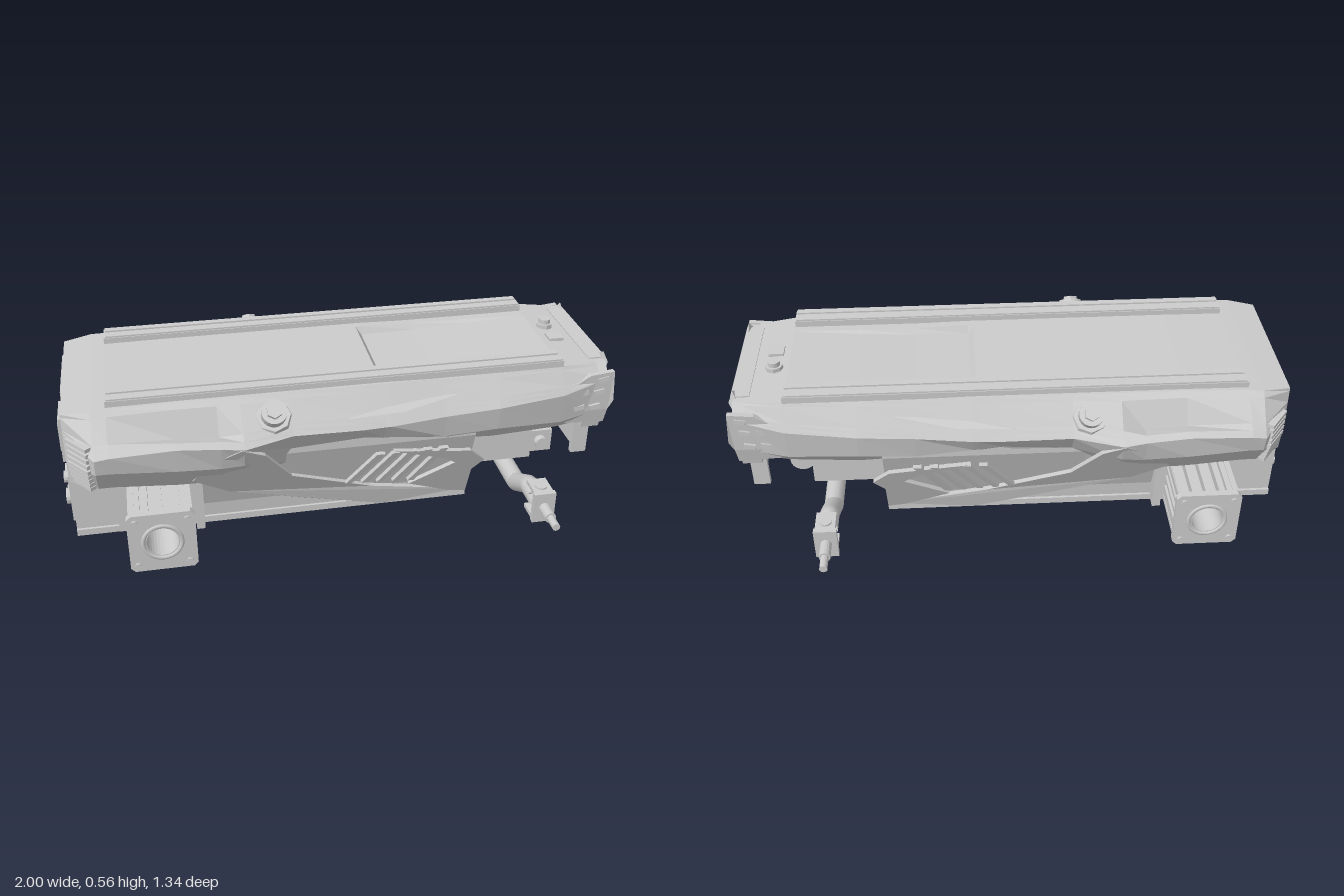
import * as THREE from 'three';

const smooth = new THREE.MeshStandardMaterial({ color: 0xcccccc, side: THREE.DoubleSide });
const flat = new THREE.MeshStandardMaterial({ color: 0xcccccc, flatShading: true, side: THREE.DoubleSide });

function add(parent, name, geo, x = 0, y = 0, z = 0, mat = flat) {
  const m = new THREE.Mesh(geo, mat);
  m.name = name;
  m.position.set(x, y, z);
  parent.add(m);
  return m;
}

// Box given by its limits on each axis
function box(parent, name, x0, x1, y0, y1, z0, z1) {
  return add(parent, name, new THREE.BoxGeometry(x1 - x0, y1 - y0, z1 - z0),
    (x0 + x1) / 2, (y0 + y1) / 2, (z0 + z1) / 2);
}

// Cylinder along a chosen axis
function rod(parent, name, axis, r, len, x, y, z, sides = 20, r2 = r) {
  const g = new THREE.CylinderGeometry(r2, r, len, sides);
  if (axis === 'x') g.rotateZ(-Math.PI / 2);
  if (axis === 'z') g.rotateX(Math.PI / 2);
  return add(parent, name, g, x, y, z);
}

const shapeOf = pts => new THREE.Shape(pts.map(p => new THREE.Vector2(p[0], p[1])));
const extrude = (shape, depth) =>
  new THREE.ExtrudeGeometry(shape, { depth, bevelEnabled: false, curveSegments: 16 });

// Block in x and y with a round bore along z
function boredBlock(parent, name, x0, x1, y0, y1, z0, z1, bx, by, r) {
  const s = shapeOf([[x0, y0], [x1, y0], [x1, y1], [x0, y1]]);
  s.holes.push(new THREE.Path().absarc(bx, by, r, 0, Math.PI * 2, true));
  return add(parent, name, extrude(s, z1 - z0), 0, 0, z0);
}

// Armour plate drawn in x and y, then leaned so that z follows the height
function plate(parent, name, pts, depth, lean) {
  const g = extrude(shapeOf(pts), depth), p = g.attributes.position;
  for (let i = 0; i < p.count; i++) p.setZ(i, p.getZ(i) + lean(p.getY(i)));
  g.computeVertexNormals();
  return add(parent, name, g);
}

// Symmetric hull lofted along x; each station is x followed by half-section [z, y] points
function loft(stations) {
  const rings = stations.map(([x, ...half]) => [
    ...half.map(([z, y]) => [x, y, z]),
    ...half.slice().reverse().map(([z, y]) => [x, y, -z])]);
  const n = rings[0].length, idx = [];
  for (let i = 0; i < rings.length - 1; i++)
    for (let j = 0; j < n; j++) {
      const a = i * n + j, b = i * n + (j + 1) % n;
      idx.push(a, a + n, b, b, a + n, b + n);
    }
  const last = (rings.length - 1) * n;
  for (let j = 1; j < n - 1; j++) idx.push(0, j, j + 1, last, last + j + 1, last + j);
  const g = new THREE.BufferGeometry();
  g.setAttribute('position', new THREE.Float32BufferAttribute(rings.flat(2), 3));
  g.setIndex(idx);
  g.computeVertexNormals();
  return g;
}

// Adds the shoulder pocket and the sloping roof recess to a shell section
function detailSection([x, foot, bulge, ridge, edge]) {
  const pocket = x > -0.8 && x < -0.4 ? 0.03 : 0;
  const recess = x > 0.14 && x < 0.78 ? (0.78 - x) * 0.045 : 0;
  const mix = (t, d) => [ridge[0] + (edge[0] - ridge[0]) * t - d, ridge[1] + (edge[1] - ridge[1]) * t - d];
  return [x, foot, bulge, ridge, mix(0.15, 0), mix(0.3, pocket), mix(0.85, 0), edge,
    [0.17, edge[1]], [0.155, edge[1] - recess]];
}

// Hollow finned drive motor with a square end flange
function driveMotor(parent) {
  const g = new THREE.Group();
  g.name = 'driveMotor';
  g.position.set(-0.67, 0.12, 0);
  parent.add(g);
  boredBlock(g, 'motorCore', -0.075, 0.075, -0.075, 0.075, 0.24, 0.49, 0, 0, 0.055);
  for (const s of [-1, 1]) for (let i = -2; i <= 2; i++) {
    const c = i * 0.048;
    box(g, 'horizontalFin', s * 0.088 - 0.02, s * 0.088 + 0.02, c - 0.009, c + 0.009, 0.24, 0.49);
    box(g, 'verticalFin', c - 0.009, c + 0.009, s * 0.088 - 0.02, s * 0.088 + 0.02, 0.24, 0.49);
  }
  const s = shapeOf([[-0.1, -0.115], [0.1, -0.115], [0.115, -0.1], [0.115, 0.1],
    [0.1, 0.115], [-0.1, 0.115], [-0.115, 0.1], [-0.115, -0.1]]);
  s.holes.push(new THREE.Path().absarc(0, 0, 0.055, 0, Math.PI * 2, true));
  add(g, 'endFlange', extrude(s, 0.025), 0, 0, 0.485);
  add(g, 'hubRing', new THREE.TorusGeometry(0.066, 0.008, 8, 28), 0, 0, 0.508, smooth);
  for (const x of [-0.088, 0.088]) for (const y of [-0.088, 0.088])
    rod(g, 'flangeBolt', 'z', 0.011, 0.01, x, y, 0.512, 8);
}

// Everything on one side; used twice with mirroring
function buildSide() {
  const g = new THREE.Group();
  const low = y => 0.235 + 0.4 * y;
  const sweep = y => Math.max(0.24, 0.213 + 0.5 * y);
  const shoulder = y => 0.373 - (y - 0.42) * 1.18;
  plate(g, 'sweptSidePlate', [[-0.55, 0.25], [-0.5, 0.33], [-0.38, 0.4], [-0.3, 0.36], [-0.2, 0.22],
    [0.1, 0.1], [0.45, 0.03], [0.47, 0], [0.15, 0], [-0.15, 0.07], [-0.42, 0.16]], 0.02, sweep);
  plate(g, 'forwardSidePlate', [[0.16, 0.3], [0.45, 0.26], [0.51, 0.2], [0.47, 0.15], [0.47, 0.02],
    [0.41, 0.03], [0.24, 0.1], [0.4, 0.2], [0.36, 0.23]], 0.02, low);
  for (let i = 0; i < 5; i++) {
    const x = i * 0.058;
    plate(g, 'ventSlat', [[x, 0.14 - i * 0.005], [x + 0.022, 0.14 - i * 0.005],
      [x + 0.13, 0.29], [x + 0.1, 0.29]], 0.02, low);
  }
  plate(g, 'frontShoulderPanel', [[0, 0.44], [0.2, 0.445], [0.5, 0.49], [0.35, 0.49]], 0.008, shoulder);

  // Roof rail with undercut sides and two top lips
  box(g, 'railBase', -0.815, 0.795, 0.51, 0.53, 0.21, 0.27);
  box(g, 'railCap', -0.82, 0.8, 0.526, 0.55, 0.2, 0.28);
  for (const z of [0.216, 0.264]) box(g, 'railLip', -0.815, 0.795, 0.55, 0.556, z - 0.013, z + 0.013);

  // Tilted shoulder sensor
  const sensor = new THREE.Group();
  sensor.name = 'shoulderSensor';
  sensor.position.set(-0.26, 0.452, 0.322);
  sensor.rotation.x = 0.72;
  g.add(sensor);
  rod(sensor, 'sensorBase', 'y', 0.078, 0.04, 0, 0.012, 0, 8, 0.06);
  rod(sensor, 'sensorBody', 'y', 0.044, 0.04, 0, 0.048, 0, 20);
  rod(sensor, 'sensorCap', 'y', 0.028, 0.016, 0, 0.074, 0, 6);

  // Corner vent ribs
  for (let i = 0; i < 9; i++) {
    const rib = box(g, 'cornerRib', -0.055, 0.055, -0.007, 0.007, -0.012, 0.012);
    rib.position.set(-0.92, 0.255 + i * 0.022, 0.305 + Math.min(i, 4) * 0.009);
    rib.rotation.y = -0.9;
  }
  driveMotor(g);
  boredBlock(g, 'motorMount', -0.82, -0.53, 0.01, 0.235, 0.25, 0.275, -0.67, 0.12, 0.055);
  box(g, 'mountBracket', -0.545, -0.515, 0.01, 0.21, 0.25, 0.31);

  // Cheek of the nose with slots
  plate(g, 'noseCheek', [[0.78, 0.34], [0.83, 0.29], [0.98, 0.28], [0.985, 0.34], [1, 0.38], [0.99, 0.5],
    [0.9, 0.49], [0.84, 0.45]], 0.02, y => 0.262 + Math.min(0.02, (y - 0.28) * 0.2));
  for (const [x, y] of [[0.87, 0.36], [0.93, 0.36], [0.88, 0.42], [0.94, 0.42], [0.95, 0.47]])
    box(g, 'cheekSlot', x - 0.02, x + 0.02, y - 0.009, y + 0.009, 0.288, 0.305).rotation.z = 0.2;

  // Diagonal ridges on the nose face
  for (const s of [-1, 1]) {
    const ridge = add(g, 'noseRidge', new THREE.ConeGeometry(0.04, 0.21, 4), 0.975, 0.415 + s * 0.05, 0.135);
    ridge.scale.x = 0.4;
    ridge.rotation.x = -Math.PI / 2 - s * 0.38;
  }

  // Steering knuckle and spindle
  box(g, 'knuckleTop', 0.635, 0.705, 0.158, 0.172, 0.45, 0.545);
  box(g, 'knuckleBottom', 0.635, 0.705, 0.055, 0.07, 0.45, 0.545);
  box(g, 'knucklePlate', 0.63, 0.71, 0.055, 0.172, 0.53, 0.55);
  rod(g, 'kingPin', 'y', 0.022, 0.13, 0.67, 0.113, 0.5, 14);
  rod(g, 'spindle', 'z', 0.02, 0.07, 0.67, 0.115, 0.58, 16);
  rod(g, 'spindleTip', 'z', 0.014, 0.06, 0.67, 0.115, 0.64, 16);
  box(g, 'frontBracket', 0.9, 0.96, 0.11, 0.28, 0.195, 0.215);
  return g;
}

export function createModel() {
  const model = new THREE.Group();
  model.name = 'roverChassis';

  add(model, 'upperShell', loft([
    [-0.97, [0.27, 0.24], [0.28, 0.32], [0.28, 0.43], [0.275, 0.515]],
    [-0.87, [0.33, 0.24], [0.4, 0.34], [0.41, 0.4], [0.3, 0.525]],
    [-0.82, [0.33, 0.24], [0.4, 0.34], [0.415, 0.41], [0.295, 0.528]],
    [-0.6, [0.34, 0.23], [0.41, 0.33], [0.42, 0.42], [0.29, 0.53]],
    [-0.45, [0.33, 0.22], [0.405, 0.32], [0.425, 0.41], [0.29, 0.53]],
    [-0.37, [0.32, 0.22], [0.4, 0.32], [0.43, 0.4], [0.29, 0.53]],
    [-0.2, [0.31, 0.26], [0.335, 0.33], [0.385, 0.41], [0.29, 0.53]],
    [0.05, [0.31, 0.32], [0.34, 0.35], [0.375, 0.4], [0.29, 0.53]],
    [0.13, [0.3, 0.31], [0.34, 0.34], [0.37, 0.4], [0.29, 0.53]],
    [0.15, [0.3, 0.31], [0.34, 0.34], [0.37, 0.4], [0.29, 0.53]],
    [0.35, [0.29, 0.28], [0.34, 0.32], [0.355, 0.41], [0.285, 0.525]],
    [0.55, [0.29, 0.27], [0.34, 0.33], [0.352, 0.42], [0.28, 0.525]],
    [0.8, [0.27, 0.27], [0.305, 0.31], [0.322, 0.43], [0.27, 0.525]],
    [0.94, [0.25, 0.28], [0.285, 0.33], [0.297, 0.46], [0.25, 0.515]],
  ].map(detailSection)));
  add(model, 'lowerHull', loft([-0.53, 0.47].map(x =>
    [x, [0.25, 0.015], [0.255, 0.08], [0.335, 0.31], [0.335, 0.37]])));
  boredBlock(model, 'rearTub', -0.97, -0.5, 0.015, 0.26, -0.25, 0.25, -0.67, 0.12, 0.055);

  // Underside frame around two recessed panels
  for (const z of [-0.245, 0.245]) box(model, 'bottomRail', -0.97, 0.47, 0, 0.025, z - 0.015, z + 0.015);
  for (const x of [-0.96, -0.25, 0.46]) box(model, 'bottomCrossbar', x - 0.01, x + 0.01, 0, 0.025, -0.25, 0.25);

  // Roof fittings
  rod(model, 'antennaBase', 'y', 0.032, 0.025, 0.85, 0.525, -0.06, 8);
  rod(model, 'antennaCap', 'y', 0.022, 0.02, 0.85, 0.545, -0.06, 16);
  box(model, 'roofSwitch', 0.825, 0.88, 0.515, 0.532, 0.015, 0.07);

  // Nose face: outline in z and y, extruded along x
  const nose = extrude(shapeOf([[-0.26, 0.25], [-0.12, 0.24], [-0.08, 0.275], [0.08, 0.275], [0.12, 0.24],
    [0.26, 0.25], [0.285, 0.39], [0.28, 0.48], [0.245, 0.515], [-0.245, 0.515], [-0.28, 0.48],
    [-0.285, 0.39]]), 0.07).rotateY(Math.PI / 2);
  add(model, 'noseFace', nose, 0.905, 0, 0);
  rod(model, 'noseBoss', 'x', 0.085, 0.014, 0.98, 0.415, 0, 8, 0.055);
  rod(model, 'noseKnob', 'x', 0.027, 0.03, 0.98, 0.31, 0, 8);
  box(model, 'noseBrow', 0.92, 0.985, 0.495, 0.52, -0.22, 0.22);
  box(model, 'lowerFrontPanel', 0.925, 0.945, 0.11, 0.26, -0.215, 0.215);

  // Steering gear housing and motor under the nose
  box(model, 'steeringHousing', 0.46, 0.74, 0.1, 0.3, -0.2, 0.2);
  box(model, 'steeringMount', 0.74, 0.83, 0.21, 0.3, -0.18, 0.18);
  rod(model, 'steeringMotor', 'z', 0.045, 0.3, 0.785, 0.155, 0.01, 20);
  box(model, 'steeringMotorCap', 0.74, 0.83, 0.11, 0.2, 0.15, 0.18);
  rod(model, 'steeringMotorShaft', 'z', 0.025, 0.03, 0.785, 0.155, 0.19, 14);

  // Dropped front axle
  const path = new THREE.CurvePath();
  const pts = [[0.47, 0.108], [0.39, 0.108], [0.27, 0.038], [-0.27, 0.038], [-0.39, 0.108], [-0.47, 0.108]]
    .map(([z, y]) => new THREE.Vector3(0.67, y, z));
  for (let i = 0; i < 5; i++) path.add(new THREE.LineCurve3(pts[i], pts[i + 1]));
  add(model, 'frontAxle', new THREE.TubeGeometry(path, 60, 0.035, 14), 0, 0, 0, smooth);
  rod(model, 'axlePivot', 'x', 0.028, 0.13, 0.67, 0.035, 0, 16);
  const hanger = extrude(shapeOf([[-0.08, 0.11], [-0.08, 0.08], [-0.03, 0.015], [0.03, 0.015], [0.08, 0.08],
    [0.08, 0.11]]), 0.02).rotateY(Math.PI / 2);
  for (const x of [0.605, 0.71]) add(model, 'axleHanger', hanger, x, 0, 0);

  // Rear panels and connectors
  box(model, 'rearHatch', -0.98, -0.965, 0.27, 0.48, -0.23, 0.06);
  box(model, 'rearDoor', -0.985, -0.965, 0.3, 0.47, 0.1, 0.23);
  box(model, 'rearDoorWindow', -0.99, -0.98, 0.33, 0.44, 0.125, 0.205);
  box(model, 'rearConnectorPlate', -0.98, -0.965, 0.04, 0.23, -0.22, 0.22);
  for (const [y, z, r] of [[0.1, -0.16, 0.028], [0.17, -0.06, 0.024], [0.08, -0.06, 0.03],
    [0.15, 0.05, 0.026], [0.07, 0.06, 0.022], [0.18, 0.14, 0.022], [0.1, 0.145, 0.03]])
    rod(model, 'rearConnector', 'x', r, 0.025, -0.987, y, z, 14);

  const left = buildSide(), right = buildSide();
  left.name = 'frontSideParts';
  right.name = 'backSideParts';
  right.scale.z = -1;
  model.add(left, right);
  return model;
}
